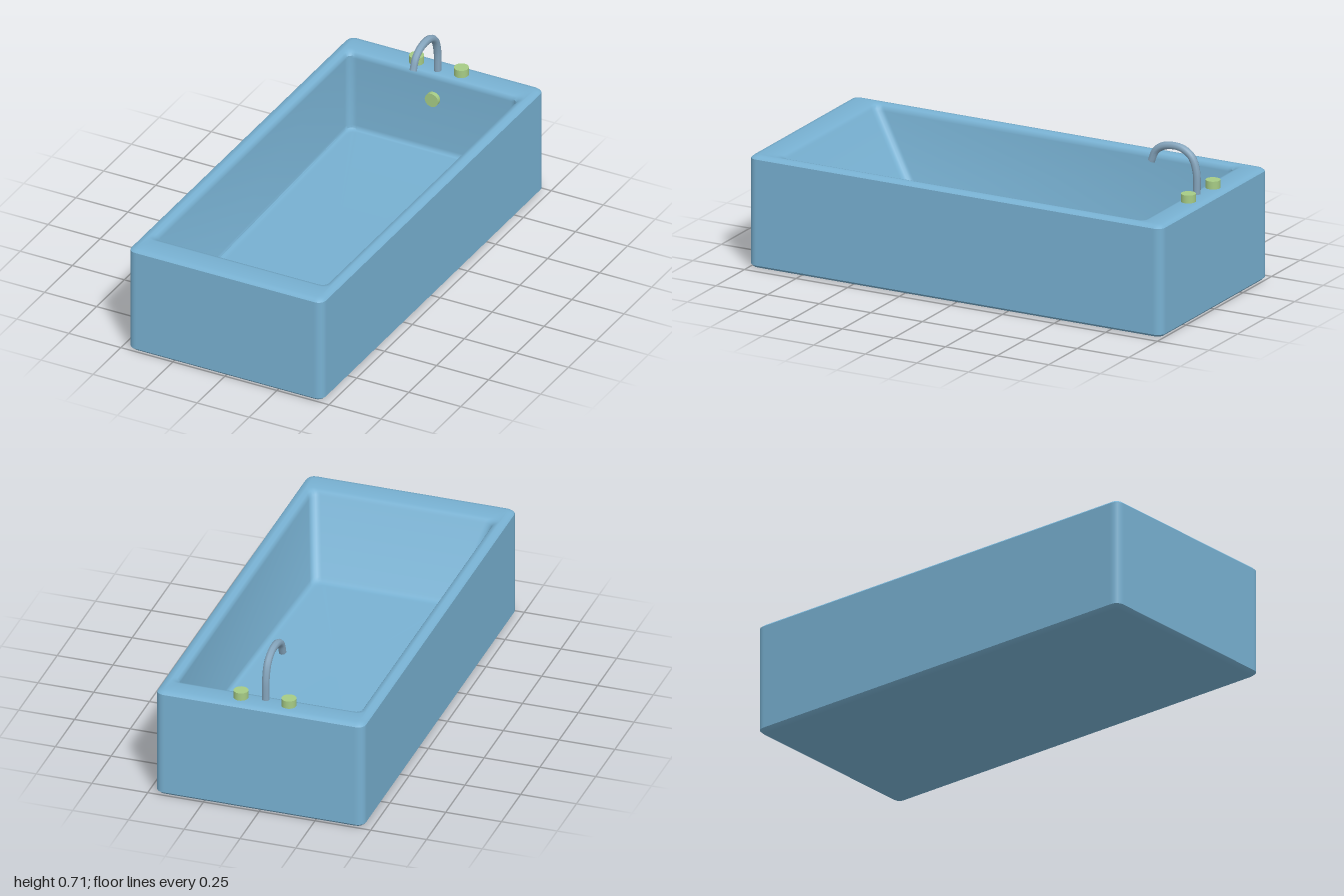
import * as THREE from 'three';
import { toCreasedNormals } from 'three/addons/utils/BufferGeometryUtils.js';

const material = (name, color) => {
  const m = new THREE.MeshStandardMaterial({ color });
  m.name = name;
  return m;
};

// Rounded four-sided loop at height y: half widths at back and front, z range,
// corner radius, and how far the loop climbs towards the front
function ring(y, xBack, xFront, zBack, zFront, r, rise = 0) {
  const points = [];
  const support = xBack === 0 ? 0 : 0.008;
  const corners = [[1, 1], [-1, 1], [-1, -1], [1, -1]];
  corners.forEach(([sx, sz], k) => {
    const cx = sx * ((sz > 0 ? xFront : xBack) - r);
    const cz = sz > 0 ? zFront - r : zBack + r;
    for (let i = -1; i <= 5; i++) {
      const a = (k + Math.min(Math.max(i, 0), 4) / 4) * Math.PI / 2;
      const slide = i < 0 ? -support : i > 4 ? support : 0;
      const z = cz + r * Math.sin(a) + slide * Math.cos(a);
      points.push(new THREE.Vector3(
        cx + r * Math.cos(a) - slide * Math.sin(a), y + rise * (z + 0.878) / 1.54, z));
    }
  });
  return points;
}

// Skin joining successive loops
function loft(rings) {
  const pos = [];
  const tri = (...ps) => ps.forEach(p => pos.push(p.x, p.y, p.z));
  for (let k = 0; k < rings.length - 1; k++) {
    const lo = rings[k], hi = rings[k + 1], n = lo.length;
    for (let j = 0; j < n; j++) {
      const m = (j + 1) % n;
      if (!lo[j].equals(lo[m])) tri(lo[j], hi[j], lo[m]);
      if (!hi[j].equals(hi[m])) tri(lo[m], hi[j], hi[m]);
    }
  }
  const g = new THREE.BufferGeometry();
  g.setAttribute('position', new THREE.Float32BufferAttribute(pos, 3));
  return toCreasedNormals(g, 0.75);
}

export function createModel() {
  const group = new THREE.Group();
  const tubBlue = material('tub blue', 0x78b1d2);
  const knobGreen = material('knob green', 0xa6cb85);
  const spoutSteel = material('spout steel blue', 0x86a6be);

  const add = (name, geometry, mat, x = 0, y = 0, z = 0) => {
    const mesh = new THREE.Mesh(geometry, mat);
    mesh.name = name;
    mesh.position.set(x, y, z);
    group.add(mesh);
    return mesh;
  };

  // Tub: outer shell by inset, then the tapering basin whose floor climbs to the front
  const floorRise = 0.06;
  const outer = (y, inset) =>
    ring(y, 0.467 - inset, 0.467 - inset, -1 + inset, 1 - inset, 0.034 - inset * 0.6);
  const basin = (t, y, grow) => ring(y,
    0.408 + grow, THREE.MathUtils.lerp(0.33, 0.408, t) + grow,
    -0.878 - grow, THREE.MathUtils.lerp(0.66, 0.865, t) + grow, 0.032,
    floorRise * (1 - t));
  add('tub', loft([
    ring(0, 0, 0, 0, 0, 0),
    outer(0, 0.035), outer(0, 0.025), outer(0.003, 0.011), outer(0.014, 0),
    outer(0.024, 0), outer(0.476, 0),
    outer(0.487, 0), outer(0.4965, 0.01), outer(0.5, 0.028),
    basin(1, 0.5, 0.026), basin(1, 0.495, 0.009), basin(1, 0.482, 0),
    basin(0.97, 0.47, 0),
    basin(0.06, 0.142, 0), basin(0.02, 0.128, -0.002), basin(0, 0.121, -0.009),
    basin(0, 0.12, -0.02), basin(0, 0.12, -0.028),
    ring(0.12, 0, 0, 0, 0, 0, floorRise),
  ]), tubBlue);

  // Tap knobs on the back rim
  for (const [x, name] of [[0.105, 'leftKnob'], [-0.11, 'rightKnob']]) {
    add(name, new THREE.CylinderGeometry(0.032, 0.032, 0.045, 20), knobGreen,
      x, 0.5125, -0.932);
  }

  // Overflow cap on the inner back wall
  const overflow = add('overflowCap', new THREE.CylinderGeometry(0.032, 0.032, 0.03, 20),
    knobGreen, 0, 0.38, -0.873);
  overflow.rotation.x = Math.PI / 2;

  // Gooseneck spout with a closed mouth
  const path = new THREE.CatmullRomCurve3([
    [0.49, -0.915], [0.6, -0.912], [0.66, -0.89], [0.69, -0.848],
    [0.697, -0.8], [0.687, -0.75], [0.661, -0.715], [0.614, -0.695],
  ].map(([y, z]) => new THREE.Vector3(0, y, z)));
  add('spout', new THREE.TubeGeometry(path, 32, 0.017, 8), spoutSteel);
  const end = path.getPoint(1);
  const mouth = add('spoutMouth', new THREE.CircleGeometry(0.017, 8), spoutSteel,
    end.x, end.y, end.z);
  mouth.lookAt(end.clone().add(path.getTangent(1)));

  return group;
}
